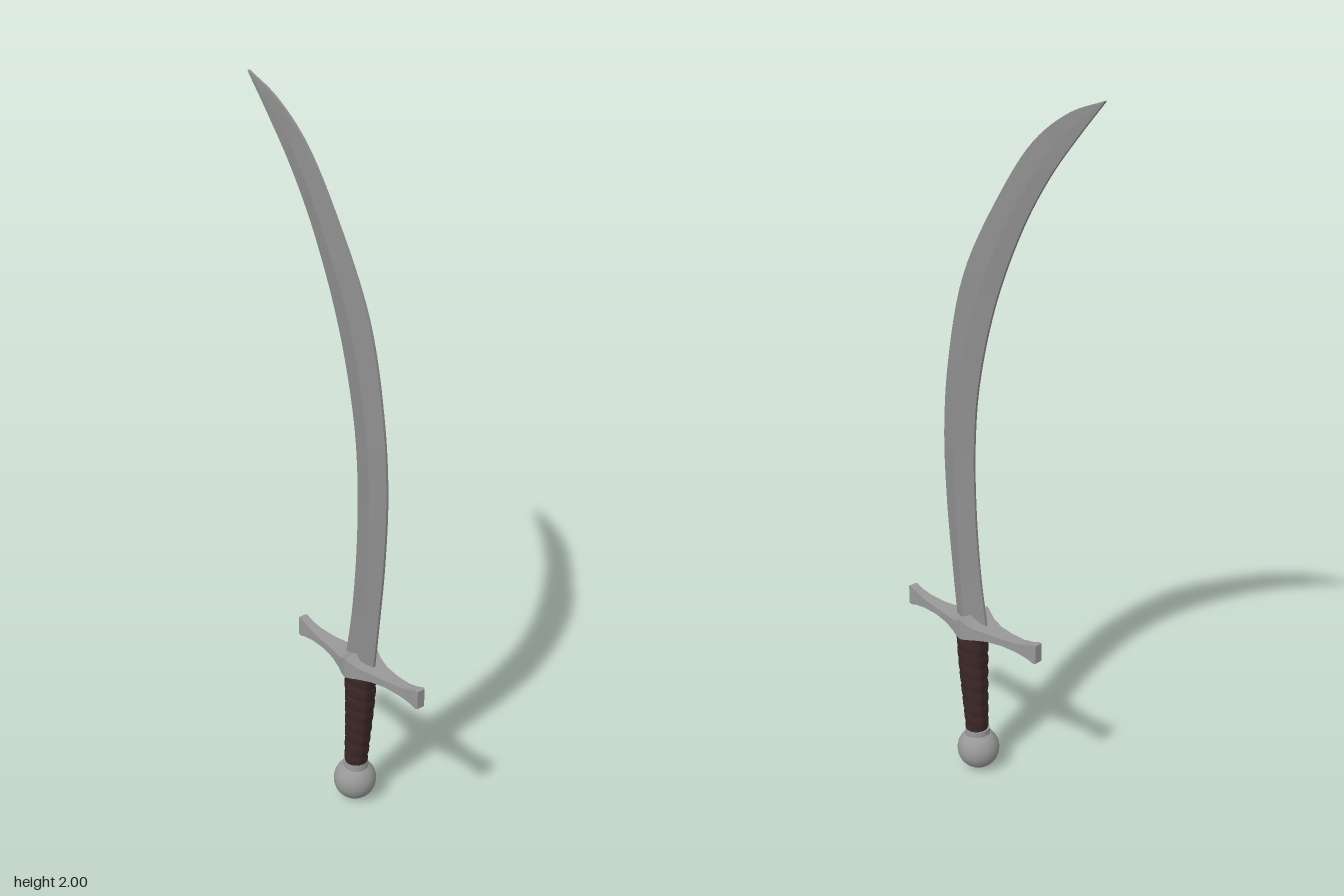
import * as THREE from 'three';
import { toCreasedNormals } from 'three/addons/utils/BufferGeometryUtils.js';

const steel = new THREE.MeshStandardMaterial({ name: 'blade steel', color: 0x8e8e8e });
const fittingSteel = new THREE.MeshStandardMaterial({ name: 'fitting steel', color: 0x989898 });
const leather = new THREE.MeshStandardMaterial({ name: 'dark leather', color: 0x3c2727 });

// Skin a list of rings (each counter-clockwise about the loft direction) and cap both ends.
function loft(rings, crease) {
  const n = rings[0].length, pos = [], idx = [];
  rings.forEach(r => r.forEach(p => pos.push(...p)));
  for (let j = 0; j < rings.length - 1; j++) {
    for (let i = 0; i < n; i++) {
      const a = j * n + i, b = j * n + (i + 1) % n;
      idx.push(a, b, b + n, a, b + n, a + n);
    }
  }
  const last = (rings.length - 1) * n;
  for (let i = 1; i < n - 1; i++) {
    idx.push(0, i + 1, i);
    idx.push(last, last + i, last + i + 1);
  }
  const g = new THREE.BufferGeometry();
  g.setAttribute('position', new THREE.Float32BufferAttribute(pos, 3));
  g.setIndex(idx);
  return toCreasedNormals(g, crease);
}

function part(name, geometry, material) {
  const m = new THREE.Mesh(geometry, material);
  m.name = name;
  return m;
}

const curve = pts => new THREE.CatmullRomCurve3(pts.map(p => new THREE.Vector3(...p)));

// Curved blade: inner edge, outer edge and a raised ridge between them
function makeBlade() {
  // inner x, inner y, outer x, outer y, ridge position across, ridge half thickness
  const stations = [
    [0.04, 0.45, 0.153, 0.45, 0.66, 0.018],
    [0.065, 0.6, 0.17, 0.6, 0.61, 0.017],
    [0.083, 0.8, 0.19, 0.8, 0.56, 0.017],
    [0.086, 1.0, 0.198, 1.01, 0.53, 0.016],
    [0.069, 1.18, 0.18, 1.22, 0.5, 0.015],
    [0.01, 1.415, 0.122, 1.47, 0.45, 0.012],
    [-0.085, 1.64, 0.0, 1.7, 0.42, 0.009],
    [-0.175, 1.79, -0.12, 1.866, 0.42, 0.007],
    [-0.26, 1.9, -0.235, 1.955, 0.45, 0.005],
    [-0.342, 1.998, -0.341, 2.0, 0.5, 0.004],
  ];
  const inner = curve(stations.map(s => [s[0], s[1], 0]));
  const outer = curve(stations.map(s => [s[2], s[3], 0]));
  const ridge = curve(stations.map(s => [s[4], s[5], 0]));
  const rings = [], e = 0.0035;
  for (let k = 0; k <= 54; k++) {
    const t = k / 54;
    const a = inner.getPoint(t), b = outer.getPoint(t), r = ridge.getPoint(t);
    const c = a.clone().lerp(b, r.x);
    rings.push([
      [b.x, b.y, e], [b.x, b.y, -e], [c.x, c.y, -r.y],
      [a.x, a.y, -e], [a.x, a.y, e], [c.x, c.y, r.y],
    ]);
  }
  return part('blade', loft(rings, 0.1), steel);
}

// Cross guard: mirrored arms that swell at the centre and flare at the ends
function makeGuard() {
  // distance from centre, bottom y, top y, half depth
  const half = [
    [0, 0.43, 0.49, 0.055], [0.018, 0.432, 0.48, 0.05], [0.04, 0.436, 0.471, 0.041],
    [0.08, 0.442, 0.467, 0.029], [0.13, 0.446, 0.467, 0.021], [0.18, 0.444, 0.471, 0.016],
    [0.215, 0.438, 0.48, 0.013], [0.238, 0.432, 0.489, 0.013], [0.246, 0.434, 0.488, 0.012],
  ];
  const all = [...half.slice(1).reverse().map(([u, ...r]) => [-u, ...r]), ...half];
  const rings = all.map(([u, lo, hi, z]) => {
    const x = 0.095 + u;
    return [[x, hi, z], [x, lo, z], [x, lo, -z], [x, hi, -z]];
  });
  return part('crossGuard', loft(rings, 0.5), fittingSteel);
}

// Leather grip: oval, bowed on the outer side, with a spiral wrap
function makeGrip() {
  // x of inner side, y, x of outer side, half depth
  const profile = [
    [0.05, 0.12, 0.114, 0.033], [0.05, 0.2, 0.126, 0.034], [0.051, 0.3, 0.139, 0.037],
    [0.051, 0.38, 0.146, 0.04], [0.05, 0.436, 0.148, 0.04],
  ];
  const sides = curve(profile.map(p => [p[0], p[1], p[2]]));
  const depth = curve(profile.map(p => [p[3], p[1], 0]));
  const rings = [], n = 28, rows = 64;
  for (let k = 0; k <= rows; k++) {
    const s = sides.getPoint(k / rows), hz = depth.getPoint(k / rows).x;
    const cx = (s.x + s.z) / 2, hx = (s.z - s.x) / 2;
    rings.push(Array.from({ length: n }, (_, i) => {
      const a = i / n * Math.PI * 2;
      const groove = -0.0025 * Math.pow(0.5 + 0.5 * Math.cos(s.y / 0.04 * Math.PI * 2 + a), 4);
      return [cx + (hx + groove) * Math.sin(a), s.y, (hz + groove) * Math.cos(a)];
    }));
  }
  return part('grip', loft(rings, 1), leather);
}

// Ball pommel with a short collar under the grip
function makePommel() {
  const group = new THREE.Group();
  group.name = 'pommel';
  const ball = part('pommelBall', new THREE.SphereGeometry(0.06, 32, 20), fittingSteel);
  ball.position.set(0.078, 0.06, 0);
  const collar = part('pommelCollar', new THREE.CylinderGeometry(0.034, 0.036, 0.022, 28), fittingSteel);
  collar.position.set(0.081, 0.115, 0);
  group.add(ball, collar);
  return group;
}

export function createModel() {
  const sword = new THREE.Group();
  sword.name = 'curvedSword';
  sword.add(makeBlade(), makeGuard(), makeGrip(), makePommel());
  return sword;
}
